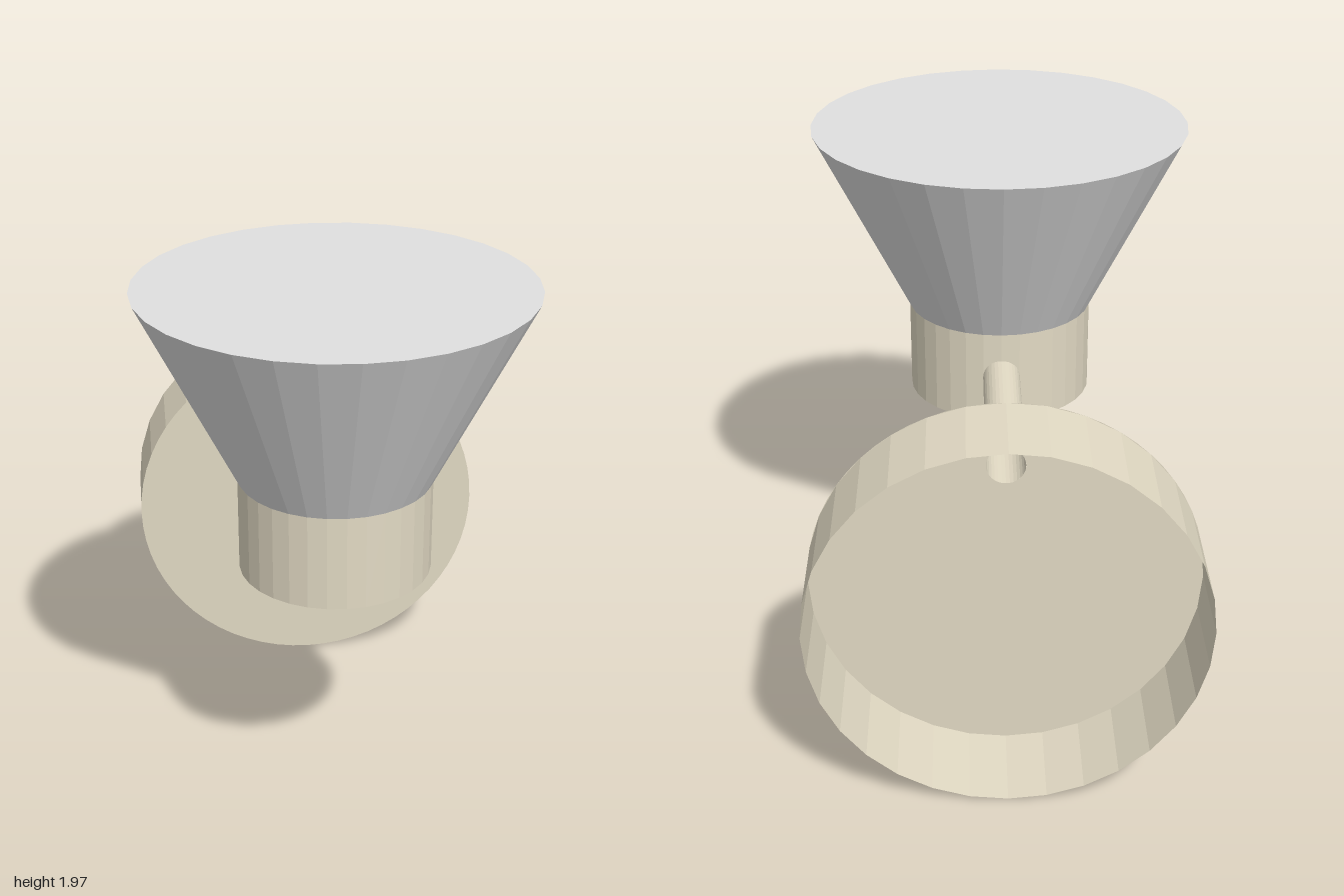
import * as THREE from 'three';

const SIDES = 32;

export function createModel() {
  const model = new THREE.Group();
  model.name = 'wallLamp';

  const metal = new THREE.MeshStandardMaterial({ color: 0xe2dac4, flatShading: true, side: THREE.DoubleSide });
  metal.name = 'beige metal';
  const glass = new THREE.MeshStandardMaterial({ color: 0xe0e0e0, flatShading: true, side: THREE.DoubleSide });
  glass.name = 'pale grey glass';

  const add = (name, geometry, material, x, y, z) => {
    const mesh = new THREE.Mesh(geometry, material);
    mesh.name = name;
    mesh.position.set(x, y, z);
    model.add(mesh);
    return mesh;
  };

  // Open tube lying along z
  const tubeZ = (radius, length) =>
    new THREE.CylinderGeometry(radius, radius, length, SIDES, 1, true).rotateX(Math.PI / 2);

  const plateR = 0.677, plateY = 0.677, plateFront = -0.66;
  const armR = 0.067, armY = 1.12;
  const lampZ = 0.324;

  // Wall cup: rim open at the back, thin front face pierced where the arm enters
  add('wallPlateRim', tubeZ(plateR, 0.34), metal, 0, plateY, plateFront - 0.17);
  const disc = new THREE.Shape();
  disc.absarc(0, 0, plateR, 0, Math.PI * 2);
  const hole = new THREE.Path();
  hole.absarc(0, armY - plateY, armR, 0, Math.PI * 2, true);
  disc.holes.push(hole);
  add('wallPlateFace', new THREE.ShapeGeometry(disc, SIDES), metal, 0, plateY, plateFront);

  // Hollow arm from the plate to the socket
  add('arm', tubeZ(armR, 0.66), metal, 0, armY, plateFront + 0.33);

  // Socket and flared shade
  add('socket', new THREE.CylinderGeometry(0.337, 0.337, 0.34, SIDES), metal, 0, 1.12, lampZ);
  add('shade', new THREE.CylinderGeometry(0.676, 0.337, 0.68, SIDES), glass, 0, 1.63, lampZ);

  return model;
}
